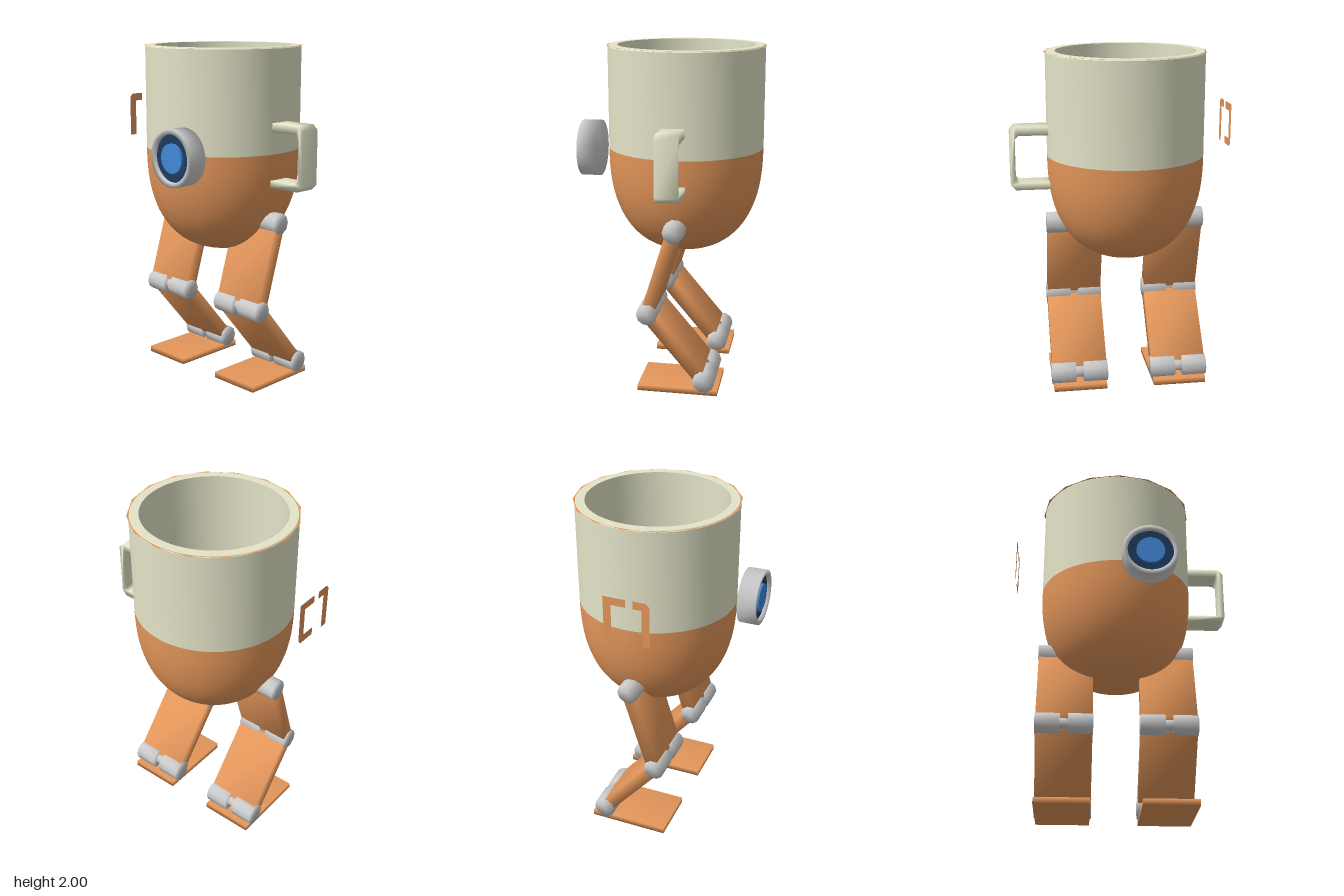
import * as THREE from 'three';
import { mergeVertices, toCreasedNormals } from 'three/addons/utils/BufferGeometryUtils.js';

const material = (color, side = THREE.FrontSide) => new THREE.MeshStandardMaterial({ color, side });
const orange = material(0xe3965a);
const orangeThin = material(0xe3965a, THREE.DoubleSide);
const cream = material(0xe4e4c9);
const grey = material(0xcccccc);
const navy = material(0x1d3b5e);
const blue = material(0x4288d6);

const CX = -0.028, CZ = -0.055; // axis of the cup

function add(parent, name, geometry, mat, x = 0, y = 0, z = 0) {
  const mesh = new THREE.Mesh(geometry, mat);
  mesh.name = name;
  mesh.position.set(x, y, z);
  parent.add(mesh);
  return mesh;
}

const vectors = (pairs) => pairs.map(([x, y]) => new THREE.Vector2(x, y));

// Share corner vertices so that shading flows softly across the edges
function soften(geometry) {
  geometry.deleteAttribute('normal');
  geometry.deleteAttribute('uv');
  const merged = mergeVertices(geometry);
  merged.computeVertexNormals();
  return merged;
}

// Superellipse bowl hanging below the seam at y = 1.4
function bowl(radius, depth) {
  const points = [];
  for (let i = 0; i <= 24; i++) {
    const a = (i / 24) * Math.PI / 2;
    points.push([radius * Math.sin(a) ** (2 / 2.4), 1.4 - depth * Math.cos(a) ** (2 / 2.4)]);
  }
  return new THREE.LatheGeometry(vectors(points), 64);
}

// Cup: double-walled bowl, thick upper wall and thin faceted rim
function createBody() {
  const body = new THREE.Group();
  body.name = 'body';
  add(body, 'outerBowl', bowl(0.461, 0.624), orangeThin, CX, 0, CZ);
  add(body, 'innerBowl', bowl(0.405, 0.57), orangeThin, CX, 0, CZ);
  const wall = vectors([[0.405, 1.4], [0.461, 1.4], [0.461, 1.992], [0.455, 2], [0.405, 2], [0.405, 1.4]]);
  add(body, 'upperWall', toCreasedNormals(new THREE.LatheGeometry(wall, 64), 0.6), cream, CX, 0, CZ);
  add(body, 'rim', new THREE.RingGeometry(0.44, 0.471, 16).rotateX(-Math.PI / 2),
    orangeThin, CX, 1.997, CZ);
  return body;
}

// Handle: chamfered C outline extruded along z
function createHandle(parent) {
  const shape = new THREE.Shape(vectors([
    [0.41, 1.21], [0.62, 1.21], [0.65, 1.24], [0.65, 1.55], [0.62, 1.58], [0.41, 1.58],
    [0.41, 1.53], [0.6, 1.53], [0.62, 1.51], [0.62, 1.27], [0.6, 1.25], [0.41, 1.25],
  ]));
  const geometry = new THREE.ExtrudeGeometry(shape, { depth: 0.13, bevelEnabled: false });
  add(parent, 'handle', soften(geometry), cream, 0, 0, CZ - 0.065);
}

// Eye: closed housing with a recessed dark lens and a bright pupil
function createEye() {
  const eye = new THREE.Group();
  eye.name = 'eye';
  eye.position.set(0.15, 1.405, 0.42);
  const profile = vectors([[0, 0], [0.163, 0], [0.163, 0.11], [0.135, 0.11], [0.135, 0.08]]);
  add(eye, 'housing', new THREE.LatheGeometry(profile, 40).rotateX(Math.PI / 2), grey);
  const disc = (r, h) => new THREE.CylinderGeometry(r, r, h, 32).rotateX(Math.PI / 2);
  add(eye, 'lens', disc(0.136, 0.04), navy, 0, 0, 0.07);
  add(eye, 'pupil', disc(0.083, 0.02), blue, 0, 0, 0.096);
  return eye;
}

// Joint: two barrels on a narrow neck, lying along x
function createJoint(name, y, z, r) {
  const joint = new THREE.Group();
  joint.name = name;
  joint.position.set(0, y, z);
  const rod = (radius, length) =>
    soften(new THREE.CylinderGeometry(radius, radius, length, 10)).rotateZ(Math.PI / 2);
  for (const side of [-1, 1]) add(joint, 'barrel', rod(r, 0.144), grey, side * 0.096, 0, 0);
  add(joint, 'neck', rod(r * 0.5, 0.06), grey);
  return joint;
}

// Flat slab spanning two joints, given as [y, z]
function addSlab(parent, name, [y1, z1], [y2, z2]) {
  const length = Math.hypot(y1 - y2, z1 - z2) - 0.06;
  const slab = add(parent, name, soften(new THREE.BoxGeometry(0.33, length, 0.078)), orange,
    0, (y1 + y2) / 2, (z1 + z2) / 2);
  slab.rotation.x = Math.atan2(z1 - z2, y1 - y2);
}

function createLeg(name, x) {
  const leg = new THREE.Group();
  leg.name = name;
  leg.position.x = x;
  const hip = [0.987, -0.055], knee = [0.485, 0.1], ankle = [0.087, -0.235];
  leg.add(createJoint('hip', ...hip, 0.063));
  leg.add(createJoint('knee', ...knee, 0.063));
  leg.add(createJoint('ankle', ...ankle, 0.066));
  addSlab(leg, 'thigh', hip, knee);
  addSlab(leg, 'shin', knee, ankle);
  add(leg, 'foot', soften(new THREE.BoxGeometry(0.318, 0.036, 0.475)), orange, 0, 0.018, -0.078);
  return leg;
}

// Two thin bent strips floating beside the cup, outlined in (z, y)
function createSideStrips() {
  const strips = new THREE.Group();
  strips.name = 'sideStrips';
  const outlines = [
    [[0.155, 1.42], [0.155, 1.66], [0.135, 1.68], [0.06, 1.68], [0.06, 1.635],
      [0.11, 1.635], [0.11, 1.42]],
    [[-0.11, 1.45], [-0.11, 1.68], [0.02, 1.68], [0.02, 1.635], [-0.065, 1.635],
      [-0.065, 1.47], [0.02, 1.47], [0.02, 1.425], [-0.09, 1.425]],
  ];
  for (const outline of outlines) {
    const geometry = new THREE.ShapeGeometry(new THREE.Shape(vectors(outline)));
    add(strips, 'strip', geometry.rotateY(-Math.PI / 2), orangeThin, -0.65, 0, 0);
  }
  return strips;
}

export function createModel() {
  const model = new THREE.Group();
  model.name = 'walkingCup';
  model.add(createBody(), createEye(), createSideStrips());
  createHandle(model);
  model.add(createLeg('leftLeg', CX + 0.305), createLeg('rightLeg', CX - 0.302));
  return model;
}
